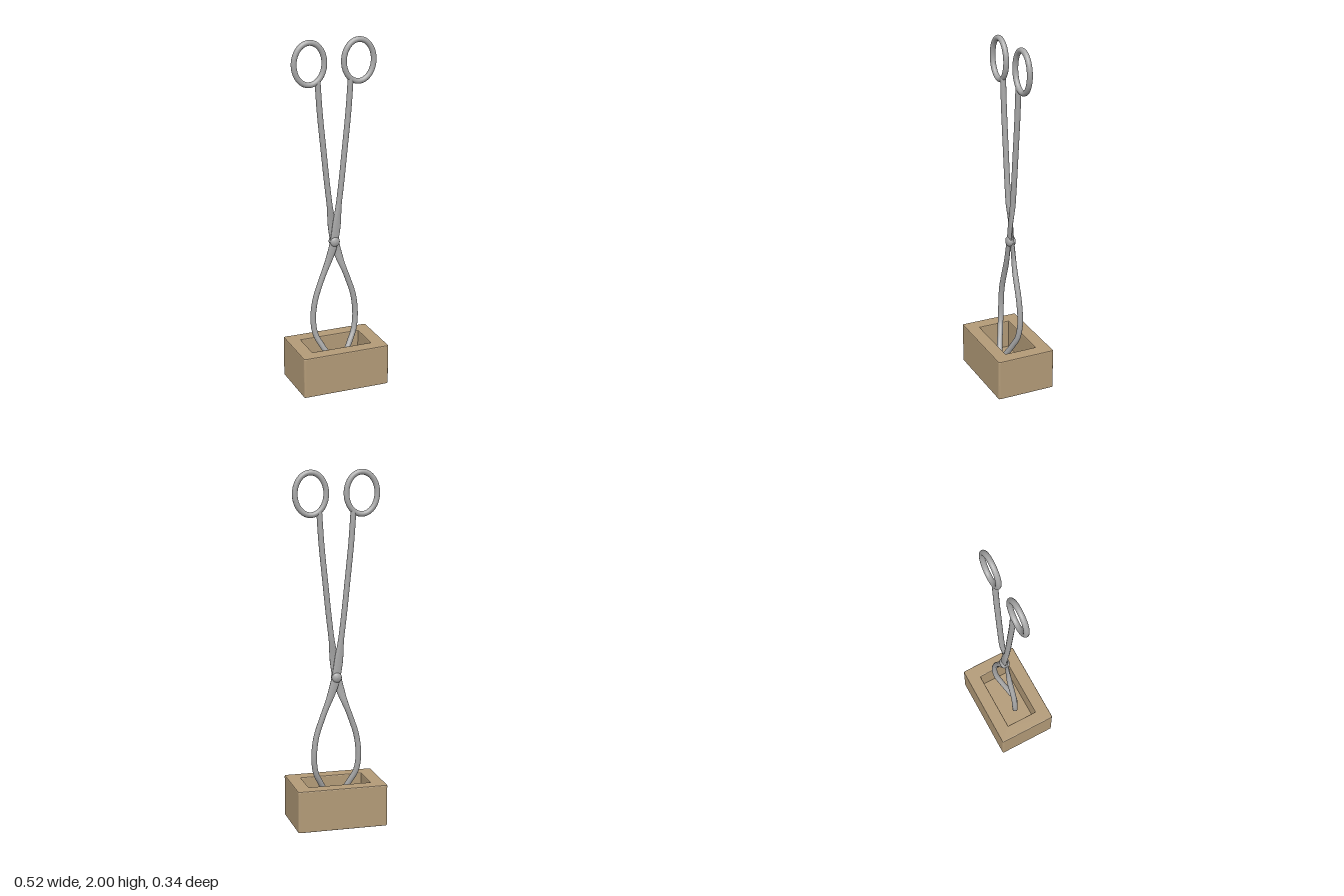
import * as THREE from 'three';

const Z = -0.021; // plane of the tongs
const PIVOT_Y = 0.845;

const roundedRect = (target, w, d, r) => {
  target.moveTo(-w + r, -d);
  target.lineTo(w - r, -d);
  target.quadraticCurveTo(w, -d, w, -d + r);
  target.lineTo(w, d - r);
  target.quadraticCurveTo(w, d, w - r, d);
  target.lineTo(-w + r, d);
  target.quadraticCurveTo(-w, d, -w, d - r);
  target.lineTo(-w, -d + r);
  target.quadraticCurveTo(-w, -d, -w + r, -d);
  return target;
};

export function createModel() {
  const model = new THREE.Group();
  const steel = new THREE.MeshStandardMaterial({ color: 0xa8a8a8 });
  steel.name = 'steel';
  const clay = new THREE.MeshStandardMaterial({ color: 0xb39b78 });
  clay.name = 'clay';

  const add = (parent, name, geometry, material, x = 0, y = 0, z = 0) => {
    const mesh = new THREE.Mesh(geometry, material);
    mesh.name = name;
    mesh.position.set(x, y, z);
    parent.add(mesh);
    return mesh;
  };

  // Block with a rectangular well and softened edges
  const block = new THREE.Group();
  block.name = 'block';
  const outline = roundedRect(new THREE.Shape(), 0.259, 0.172, 0.012);
  outline.holes.push(roundedRect(new THREE.Path(), 0.18, 0.094, 0.002));
  const walls = new THREE.ExtrudeGeometry(outline, {
    depth: 0.228, bevelThickness: 0.006, bevelSize: 0.006, bevelOffset: -0.006,
    bevelSegments: 2, curveSegments: 4,
  });
  walls.rotateX(-Math.PI / 2);
  add(block, 'blockWalls', walls, clay, 0, 0.006);
  add(block, 'wellFloor', new THREE.BoxGeometry(0.373, 0.07, 0.201), clay, 0, 0.035);
  model.add(block);

  // One arm: handle on the side s, jaw on the other; flattened where the arms cross
  const makeArm = (s) => {
    const path = new THREE.CatmullRomCurve3([
      [-0.097, 1.775, Z], [-0.085, 1.6, Z], [-0.063, 1.38, Z], [-0.042, 1.18, Z],
      [-0.018, 0.99, Z], [0.004, PIVOT_Y, Z], [0.034, 0.74, Z], [0.083, 0.61, Z],
      [0.118, 0.5, Z], [0.13, 0.38, Z], [0.117, 0.29, -0.012],
      [0.09, 0.235, 0.003], [0.055, 0.175, 0.022], [0.02, 0.13, 0.038],
    ].map(([x, y, z]) => new THREE.Vector3(x * s, y, z)));
    const steps = 120, sides = 16;
    const geometry = new THREE.TubeGeometry(path, steps, 0.016, sides);
    const pos = geometry.attributes.position;
    for (let i = 0; i <= steps; i++) {
      const c = path.getPointAt(i / steps);
      const w = 1 - THREE.MathUtils.smoothstep(Math.abs(c.y - PIVOT_Y - 0.02), 0.06, 0.22);
      for (let j = 0; j <= sides; j++) {
        const k = i * (sides + 1) + j;
        pos.setX(k, c.x + (pos.getX(k) - c.x) * (1 + 0.6 * w));
        pos.setZ(k, c.z + (pos.getZ(k) - c.z) * (1 - 0.45 * w) - s * 0.007 * w);
      }
    }
    geometry.computeVertexNormals();
    // Restore a smooth seam along the tube
    const n = geometry.attributes.normal;
    for (let i = 0; i <= steps; i++) {
      const a = i * (sides + 1), b = a + sides;
      const v = new THREE.Vector3().fromBufferAttribute(n, a)
        .add(new THREE.Vector3().fromBufferAttribute(n, b)).normalize();
      n.setXYZ(a, v.x, v.y, v.z);
      n.setXYZ(b, v.x, v.y, v.z);
    }

    const arm = new THREE.Group();
    arm.name = s > 0 ? 'rightHandleArm' : 'leftHandleArm';
    add(arm, 'shaft', geometry, steel);
    // Blunt jaw tip
    const tip = add(arm, 'jawTip', new THREE.SphereGeometry(0.016, 16, 10), steel, 0.02 * s, 0.13, 0.038);
    tip.quaternion.setFromUnitVectors(new THREE.Vector3(0, 1, 0), path.getTangentAt(1));
    tip.scale.y = 0.4;

    // Oval finger ring
    class Oval extends THREE.Curve {
      getPoint(t, target = new THREE.Vector3()) {
        const a = t * Math.PI * 2;
        return target.set(0.088 * Math.cos(a), 0.115 * Math.sin(a), 0);
      }
    }
    add(arm, 'fingerRing', new THREE.TubeGeometry(new Oval(), 64, 0.0155, 16, true), steel,
      -0.145 * s, 1.8695, Z);
    model.add(arm);
  };
  makeArm(1);
  makeArm(-1);

  // Domed rivet through the crossing
  const profile = [[0, -0.028], [0.014, -0.026], [0.024, -0.021], [0.028, -0.015],
    [0.028, 0.015], [0.024, 0.021], [0.014, 0.026], [0, 0.028]];
  const rivet = new THREE.LatheGeometry(profile.map(([r, y]) => new THREE.Vector2(r, y)), 24);
  rivet.rotateX(Math.PI / 2);
  add(model, 'pivotRivet', rivet, steel, 0, PIVOT_Y, Z);

  return model;
}
